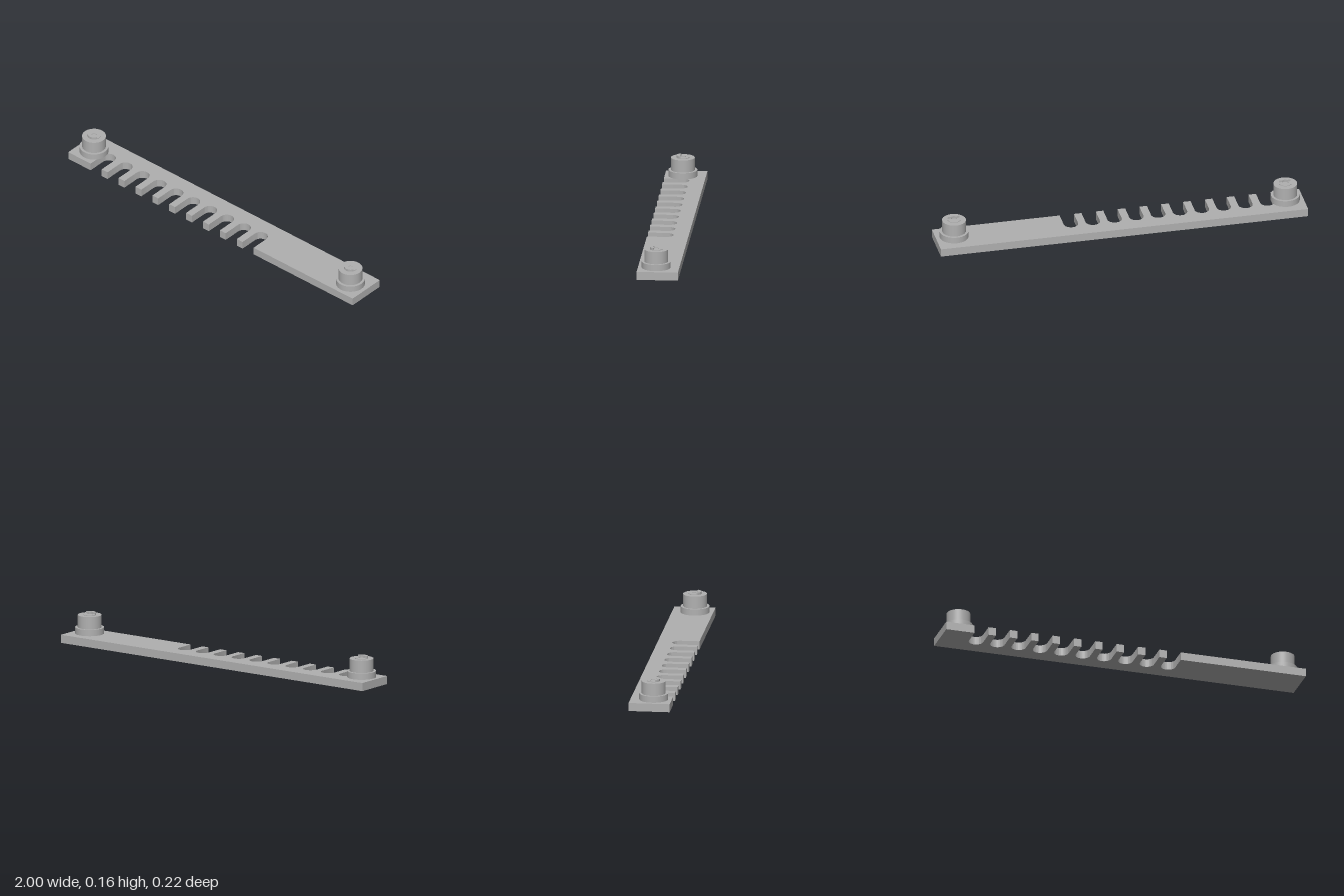
import * as THREE from 'three';
import { toCreasedNormals } from 'three/addons/utils/BufferGeometryUtils.js';

const grey = new THREE.MeshStandardMaterial({ color: 0xb0b0b0 });
grey.name = 'grey';

// Extrudes a plan shape (shape y = -z) upward from y0 to y1
function slab(name, shape, y0, y1) {
  const geo = new THREE.ExtrudeGeometry(shape, { depth: y1 - y0, bevelEnabled: false, curveSegments: 24 });
  geo.rotateX(-Math.PI / 2).translate(0, y0, 0);
  const mesh = new THREE.Mesh(toCreasedNormals(geo, 0.6), grey);
  mesh.name = name;
  return mesh;
}

function cylinder(name, radius, y0, y1) {
  const geo = new THREE.CylinderGeometry(radius, radius, y1 - y0, 48);
  geo.translate(0, (y0 + y1) / 2, 0);
  const mesh = new THREE.Mesh(geo, grey);
  mesh.name = name;
  return mesh;
}

// Flat bar with a row of round-ended slots open to the front
function createBar() {
  const d = 0.11, r = 0.039, count = 10, first = -0.804, pitch = 0.1188;
  const s = new THREE.Shape();
  s.moveTo(-1, -d);
  for (let i = 0; i < count; i++) {
    const c = first + i * pitch;
    s.lineTo(c - r, -d);
    s.lineTo(c - r, -0.01);
    s.absarc(c, -0.01, r, Math.PI, 0, true);
    s.lineTo(c + r, -d);
  }
  s.lineTo(1, -d);
  s.lineTo(1, d);
  s.lineTo(-1, d);
  s.closePath();
  return slab('slottedBar', s, 0, 0.044);
}

// Stepped round post with a small ring and raised front lip on top
function createPost(x) {
  const post = new THREE.Group();
  post.name = x < 0 ? 'rightPost' : 'leftPost';
  post.position.set(x, 0, 0.013);
  const outer = 0.034, inner = 0.016, cut = 0.011, PI = Math.PI;

  const ring = new THREE.Shape().absarc(0, 0, outer, 0, PI * 2);
  ring.holes.push(new THREE.Path().absarc(0, 0, inner, 0, PI * 2, true));

  const a = Math.asin(cut / outer), b = Math.asin(cut / inner);
  const lip = new THREE.Shape();
  lip.absarc(0, 0, outer, PI + a, 2 * PI - a, false);
  lip.absarc(0, 0, inner, 2 * PI - b, PI + b, true);
  lip.closePath();

  post.add(
    cylinder('postFlange', 0.077, 0.044, 0.078),
    cylinder('postBody', 0.0635, 0.078, 0.145),
    slab('topRing', ring, 0.145, 0.148),
    slab('topLip', lip, 0.148, 0.158)
  );
  return post;
}

export function createModel() {
  const model = new THREE.Group();
  model.name = 'slottedRail';
  model.add(createBar());
  for (const x of [-0.903, 0.901]) model.add(createPost(x));
  return model;
}
